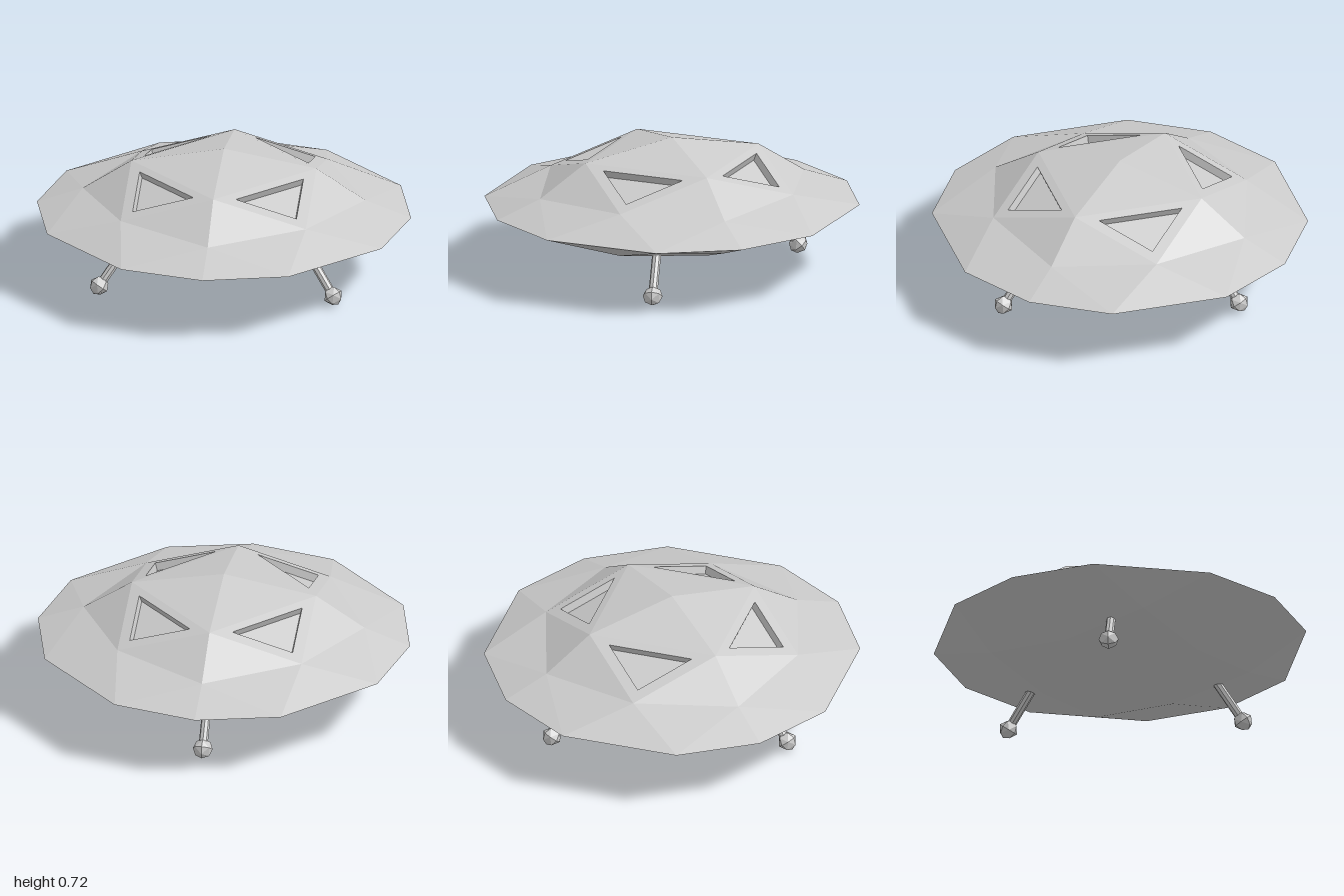
import * as THREE from 'three';

const material = new THREE.MeshStandardMaterial({ color: 0xcccccc, flatShading: true });

const V = (x, y, z) => new THREE.Vector3(x, y, z);

// Mesh from a list of triangle corners
function facetMesh(name, corners) {
  const geometry = new THREE.BufferGeometry().setFromPoints(corners);
  geometry.computeVertexNormals();
  const mesh = new THREE.Mesh(geometry, material);
  mesh.name = name;
  return mesh;
}

// Rows of one octant, from the pole out to the rim
function octantRows(pole, inner, outer, corner) {
  const rim = 0.37;
  return [
    [V(0, pole, 0)],
    [V(0.495, inner, 0), V(0, inner, 0.495)],
    [V(0.755, outer, 0), V(0.495, corner, 0.495), V(0, outer, 0.755)],
    [V(1, rim, 0), V(0.894, rim, 0.447), V(0.447, rim, 0.894), V(0, rim, 1)],
  ];
}

// Triangles between the rows; the window facet can be left out
function octantFacets(rows, flip, skipWindow) {
  const out = [];
  const add = (a, b, c) => out.push(...(flip ? [a, c, b] : [a, b, c]));
  for (let i = 0; i < 3; i++) {
    for (let j = 0; j <= i; j++) {
      add(rows[i][j], rows[i + 1][j + 1], rows[i + 1][j]);
      if (j < i && !(skipWindow && i === 1)) add(rows[i][j], rows[i][j + 1], rows[i + 1][j + 1]);
    }
  }
  return out;
}

// Triangular frame, recess walls and pane set into one facet
function windowFacets(a, b, c) {
  const outer = [a, b, c];
  const centre = V(0, 0, 0).add(a).add(b).add(c).divideScalar(3);
  const normal = new THREE.Triangle(a, b, c).getNormal(V(0, 0, 0));
  const hole = outer.map(p => p.clone().lerp(centre, 0.345));
  const floor = hole.map(p => p.clone().addScaledVector(normal, -0.043));
  const frame = [], recess = [...floor];
  const quad = (list, p, q, r, s) => list.push(p, q, r, p, r, s);
  for (let i = 0; i < 3; i++) {
    const k = (i + 1) % 3;
    quad(frame, outer[i], outer[k], hole[k], hole[i]);
    quad(recess, hole[i], hole[k], floor[k], floor[i]);
  }
  return { frame, recess };
}

// Splayed strut with a faceted ball foot
function makeLeg(angle) {
  const leg = new THREE.Group();
  leg.name = 'landingLeg';
  const top = V(0, 0.31, 0.515), foot = V(0, 0.052, 0.722);
  const axis = top.clone().sub(foot);
  const tilt = new THREE.Quaternion().setFromUnitVectors(V(0, 1, 0), axis.clone().normalize());

  const strut = new THREE.Mesh(new THREE.CylinderGeometry(0.024, 0.024, axis.length(), 8), material);
  strut.name = 'strut';
  strut.position.copy(top).add(foot).multiplyScalar(0.5);
  strut.quaternion.copy(tilt);

  const ball = new THREE.Mesh(new THREE.OctahedronGeometry(0.053, 1), material);
  ball.name = 'footBall';
  ball.position.copy(foot);
  ball.quaternion.copy(tilt);

  leg.add(strut, ball);
  leg.rotation.y = angle;
  return leg;
}

export function createModel() {
  const model = new THREE.Group();
  model.name = 'flyingSaucer';

  const upper = octantRows(0.72, 0.63, 0.46, 0.483);
  const lower = octantRows(0.173, 0.2, 0.285, 0.253);
  const win = windowFacets(upper[1][0], upper[1][1], upper[2][1]);

  // Four identical quarters around the vertical axis
  for (let q = 0; q < 4; q++) {
    const quarter = new THREE.Group();
    quarter.name = 'hullQuarter';
    quarter.rotation.y = q * Math.PI / 2;
    quarter.add(
      facetMesh('upperHull', octantFacets(upper, false, true)),
      facetMesh('windowFrame', win.frame),
      facetMesh('windowRecess', win.recess),
      facetMesh('lowerHull', octantFacets(lower, true, false)),
    );
    model.add(quarter);
  }

  // Three legs, one pointing straight back
  for (let i = 0; i < 3; i++) model.add(makeLeg(Math.PI + i * Math.PI * 2 / 3));

  return model;
}
